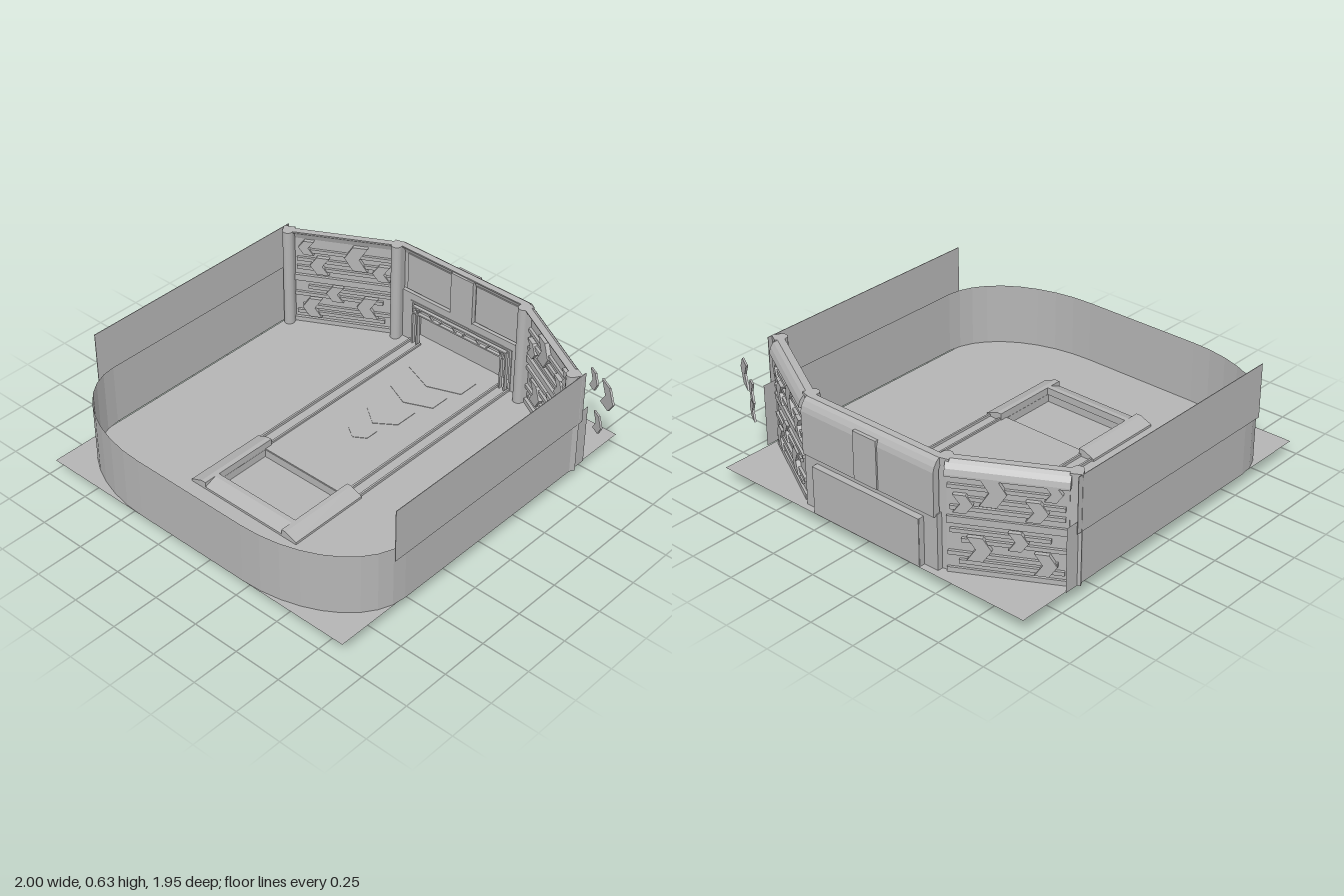
import * as THREE from 'three';

const FLOOR = 0.075, TOP = 0.63;

export function createModel() {
  const grey = new THREE.MeshStandardMaterial({ color: 0xb4b4b4, side: THREE.DoubleSide });
  grey.name = 'plain grey';

  const add = (parent, name, geo, x = 0, y = 0, z = 0) => {
    const m = new THREE.Mesh(geo, grey);
    m.name = name;
    m.position.set(x, y, z);
    parent.add(m);
    return m;
  };
  // Box given by its limits
  const box = (parent, name, x0, x1, y0, y1, z0, z1) =>
    add(parent, name, new THREE.BoxGeometry(x1 - x0, y1 - y0, z1 - z0), (x0 + x1) / 2, (y0 + y1) / 2, (z0 + z1) / 2);
  const poly = pts => new THREE.Shape(pts.map(p => new THREE.Vector2(...p)));
  const extrude = (shape, depth) =>
    new THREE.ExtrudeGeometry(shape, { depth, bevelEnabled: false }).translate(0, 0, -depth / 2);
  // Profile in (z, y), swept along x and centred
  const sweepX = (pts, length) => extrude(poly(pts), length).rotateY(-Math.PI / 2);
  // Notched arrow pointing +x, in the xy plane
  const chevron = (w, h, t) => {
    const k = 0.36 * w;
    return extrude(poly([[-w / 2, -h / 2], [w / 2 - k, -h / 2], [w / 2, 0], [w / 2 - k, h / 2], [-w / 2, h / 2], [k - w / 2, 0]]), t);
  };

  const model = new THREE.Group();
  model.name = 'arena';
  const arena = new THREE.Group();
  arena.name = 'arenaBody';
  arena.position.x = -0.06;
  model.add(arena);

  // Ground sheet with the pit opening
  const ground = poly([[-0.92, -0.97], [0.92, -0.97], [0.92, 0.98], [-0.92, 0.98]]);
  ground.holes.push(new THREE.Path([[-0.25, -0.56], [-0.25, -0.24], [0.25, -0.24], [0.25, -0.56]].map(p => new THREE.Vector2(...p))));
  add(arena, 'ground', new THREE.ShapeGeometry(ground).rotateX(-Math.PI / 2), 0, FLOOR, 0);

  // Low U-shaped wall with rounded front corners
  const half = [[0.925, -0.71]];
  for (let i = 0; i <= 9; i++) {
    const a = (i / 9) * Math.PI / 2;
    half.push([0.325 + 0.6 * Math.cos(a), 0.57 + 0.4 * Math.sin(a)]);
  }
  const path = [...half, ...half.map(([x, z]) => [-x, z]).reverse()];
  const strip = new THREE.PlaneGeometry(1, 1, path.length - 1, 1);
  const pos = strip.attributes.position;
  for (let i = 0; i < pos.count; i++) {
    const [x, z] = path[i % path.length];
    pos.setXYZ(i, x, i < path.length ? 0.4 : FLOOR, z);
  }
  const wall = strip.toNonIndexed();
  wall.computeVertexNormals();
  add(arena, 'curvedWall', wall);

  // Pit: side walls hang lower than the tray
  box(arena, 'pitFloor', -0.25, 0.25, 0.028, 0.034, 0.245, 0.555);
  for (const s of [-1, 1]) {
    box(arena, 'pitSide', s * 0.25 - 0.006, s * 0.25 + 0.006, 0.0, FLOOR, 0.24, 0.56);
    box(arena, 'pitEnd', -0.25, 0.25, 0.03, FLOOR, 0.4 + s * 0.16 - 0.004, 0.4 + s * 0.16 + 0.004);
  }

  // Raised rim around three sides of the pit
  const rim = [[0, 0], [0.09, 0], [0.09, 0.012], [0.025, 0.038], [0, 0.038]];
  for (const s of [-1, 1]) {
    const m = add(arena, 'pitRimSide', sweepX(rim, 0.44), s * 0.245, FLOOR, 0.42);
    m.rotation.y = s * Math.PI / 2;
  }
  add(arena, 'pitRimFront', sweepX(rim, 0.49), 0, FLOOR, 0.55);

  // Track running from the gate to the pit
  box(arena, 'track', -0.255, 0.255, 0.07, 0.078, -0.9, 0.24);
  for (const s of [-1, 1]) for (const x of [0.255, 0.32])
    box(arena, 'trackRail', s * x - 0.005, s * x + 0.005, 0.068, 0.088, -0.9, 0.24);
  for (const [w, l, z] of [[0.28, 0.17, -0.56], [0.2, 0.2, -0.35], [0.12, 0.11, -0.16], [0.34, 0.18, -0.74]])
    add(arena, 'floorArrow', chevron(l, w, 0.007).rotateX(-Math.PI / 2).rotateY(-Math.PI / 2), 0, 0.077, z);

  // Back gate: hooded upper panel over a recessed opening
  const hood = low => [[-0.04, low], [-0.04, 0.57], [-0.033, 0.595], [-0.018, 0.617], [0, TOP], [0.035, TOP],
    [0.03, 0.618], [0.008, 0.6], [-0.005, 0.57], [-0.005, low]];
  add(arena, 'gateHood', sweepX(hood(0.35), 0.8), 0, 0, -0.92);
  box(arena, 'gateTab', -0.07, 0.07, 0.355, 0.6, -0.968, -0.9);
  for (const s of [-1, 1]) {
    box(arena, 'gatePanel', s * 0.22 - 0.14, s * 0.22 + 0.14, 0.37, 0.58, -0.926, -0.914);
    box(arena, 'gateJamb', s * 0.365 - 0.04, s * 0.365 + 0.04, FLOOR, 0.36, -0.945, -0.905);
    box(arena, 'recessSide', s * 0.32 - 0.006, s * 0.32 + 0.006, FLOOR, 0.32, -0.975, -0.9);
    for (const x of [0.27, 0.3])
      box(arena, 'gateUpright', s * x - 0.004, s * x + 0.004, FLOOR, 0.3, -0.905, -0.885);
  }
  box(arena, 'recessBack', -0.325, 0.325, FLOOR, 0.32, -0.978, -0.97);
  box(arena, 'recessTop', -0.325, 0.325, 0.31, 0.32, -0.975, -0.9);
  box(arena, 'gateLintel', -0.4, 0.4, 0.32, 0.36, -0.945, -0.905);
  for (const y of [0.265, 0.3]) box(arena, 'gateCrossbar', -0.3, 0.3, y - 0.004, y + 0.004, -0.905, -0.885);
  for (let i = 0; i < 8; i++) {
    const brace = box(arena, 'gateBrace', -0.003, 0.003, 0.26, 0.305, -0.9, -0.89);
    brace.position.x = -0.2625 + i * 0.075;
    brace.rotation.z = i % 2 ? 0.8 : -0.8;
  }

  // Both sides: upper screens, posts and angled wings
  const angle = -Math.atan2(0.26, 0.47);
  for (const s of [1, -1]) {
    const side = new THREE.Group();
    side.name = s > 0 ? 'leftSide' : 'rightSide';
    side.scale.x = s;
    arena.add(side);

    box(side, 'sideScreen', 0.935, 0.938, 0.35, TOP, -0.655, 0.655);

    for (const [x, z, turn] of [[0.405, -0.885, angle / 2], [0.9, -0.615, angle]]) {
      const post = new THREE.Group();
      post.name = 'post';
      post.position.set(x, 0, z);
      post.rotation.y = turn;
      side.add(post);
      box(post, 'postBody', -0.028, 0.028, FLOOR, TOP, -0.03, 0.012);
      add(post, 'postNose', new THREE.CylinderGeometry(0.028, 0.028, TOP - FLOOR, 12), 0, (TOP + FLOOR) / 2, 0.012);
    }

    const wing = new THREE.Group();
    wing.name = 'wing';
    wing.position.set(0.655, 0, -0.77);
    wing.rotation.y = angle;
    side.add(wing);
    box(wing, 'wingPanel', -0.265, 0.265, FLOOR, 0.6, -0.016, -0.004);
    add(wing, 'wingHood', sweepX(hood(0.56), 0.54));
    box(wing, 'wingBeam', -0.265, 0.265, 0.325, 0.36, -0.028, 0.012);
    box(wing, 'wingSill', -0.265, 0.265, FLOOR, 0.1, -0.028, 0.012);
    // Horizontal slats, standing out on both faces
    for (const [y, u, l] of [[0.135, 0.02, 0.46], [0.175, -0.02, 0.48], [0.245, 0.03, 0.46], [0.29, -0.03, 0.44],
      [0.405, 0, 0.5], [0.455, 0.03, 0.44], [0.51, -0.02, 0.48]])
      box(wing, 'slat', u - l / 2, u + l / 2, y - 0.01, y + 0.01, -0.03, 0.01);
    // Arrows pointing away from the gate
    for (const [u, y, w, h] of [[-0.06, 0.5, 0.12, 0.14], [-0.19, 0.43, 0.09, 0.09], [0.13, 0.43, 0.1, 0.1],
      [0.2, 0.53, 0.08, 0.08], [-0.12, 0.21, 0.11, 0.12], [0.05, 0.27, 0.09, 0.09], [0.17, 0.17, 0.1, 0.11]])
      add(wing, 'wingArrow', chevron(w, h, 0.056), u, y, -0.01);
  }

  // Loose arrows floating beside the left wing
  for (const [x, y, z, w, h] of [[1.0, 0.465, -0.755, 0.13, 0.13], [0.955, 0.285, -0.76, 0.085, 0.1], [0.865, 0.45, -0.835, 0.08, 0.1]])
    add(arena, 'looseArrow', chevron(w, h, 0.01), x, y, z).rotation.y = angle;

  return model;
}
